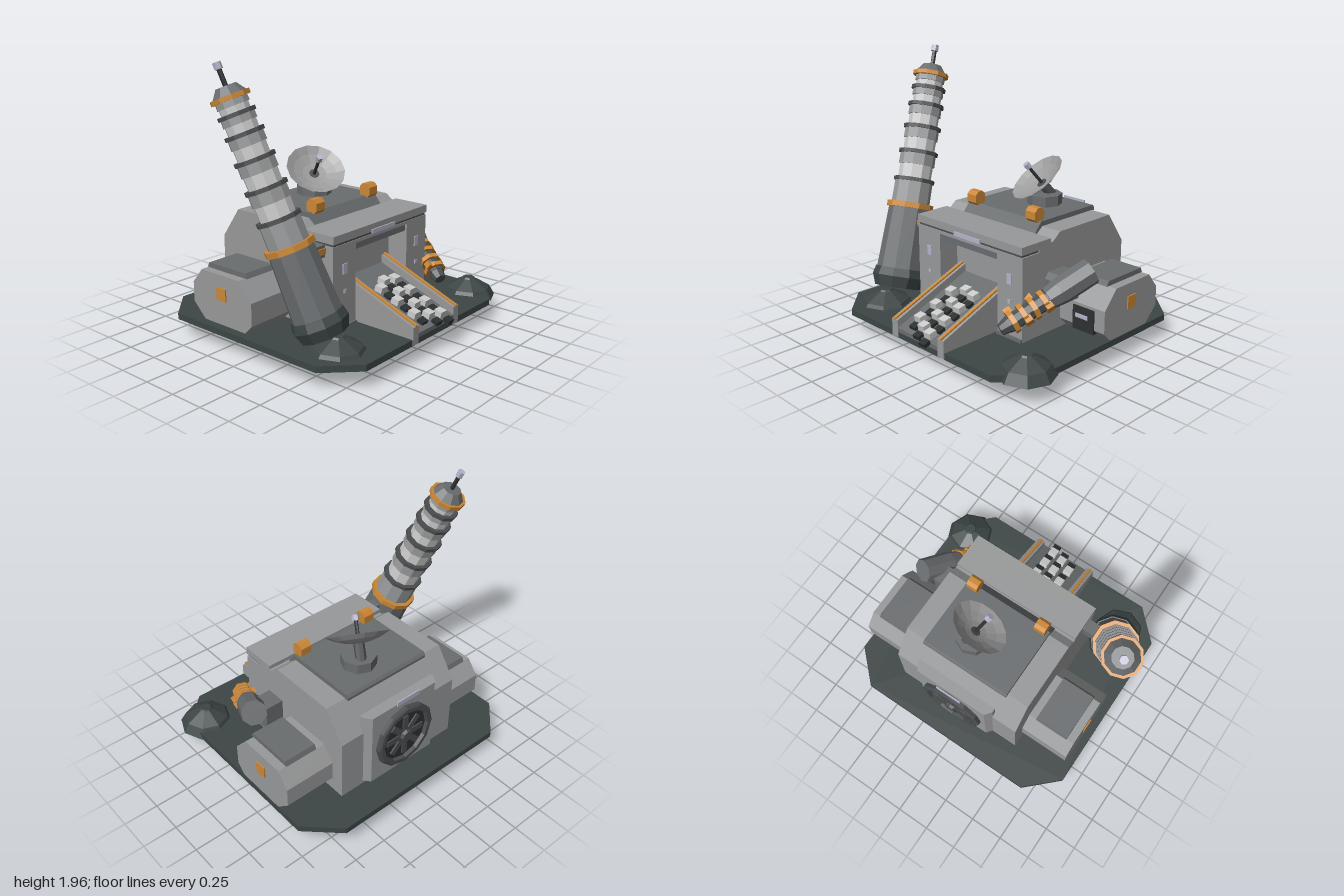
import * as THREE from 'three';

const material = (name, hex) => {
  const m = new THREE.MeshStandardMaterial({ color: hex });
  m.name = name;
  return m;
};

export function createModel() {
  const model = new THREE.Group();
  model.name = 'outpost';

  const ground = material('dark green grey', 0x3d4645);
  const wall = material('wall grey', 0x98999a);
  const mid = material('middle grey', 0x6a6d6f);
  const dark = material('dark grey', 0x4c4f51);
  const black = material('near black', 0x2d3031);
  const light = material('light grey', 0xcdcdcd);
  const orange = material('orange', 0xcc8836);
  const lavender = material('pale lavender', 0xb6b4ca);
  const dishGrey = material('dish grey', 0x9c9c9c);
  dishGrey.side = THREE.DoubleSide;

  // ---- helpers ----
  const add = (parent, name, geo, mat) => {
    const flat = geo.index ? geo.toNonIndexed() : geo;
    flat.computeVertexNormals();
    const mesh = new THREE.Mesh(flat, mat);
    mesh.name = name;
    parent.add(mesh);
    return mesh;
  };
  // box given by its limits
  const box = (name, mat, x0, x1, y0, y1, z0, z1) => {
    const m = add(model, name, new THREE.BoxGeometry(x1 - x0, y1 - y0, z1 - z0), mat);
    m.position.set((x0 + x1) / 2, (y0 + y1) / 2, (z0 + z1) / 2);
    return m;
  };
  const extrude = (pts, depth) => new THREE.ExtrudeGeometry(
    new THREE.Shape(pts.map(p => new THREE.Vector2(...p))), { depth, bevelEnabled: false });
  // side profile of [z, y] points, swept from x0 to x1
  const sideways = (name, mat, pts, x0, x1) =>
    add(model, name, extrude(pts, x1 - x0).rotateY(-Math.PI / 2).translate(x1, 0, 0), mat);
  // plan of [x, z] points, swept from y0 to y1
  const plan = (name, mat, pts, y0, y1) =>
    add(model, name, extrude(pts, y1 - y0).rotateX(Math.PI / 2).translate(0, y1, 0), mat);
  // group whose local y runs along a direction
  const axis = (name, from, dir) => {
    const g = new THREE.Group();
    g.name = name;
    g.position.set(...from);
    g.quaternion.setFromUnitVectors(new THREE.Vector3(0, 1, 0), new THREE.Vector3(...dir).normalize());
    model.add(g);
    return g;
  };
  // round section from s0 to s1 along a group's axis
  const section = (g, name, mat, s0, s1, r0, r1 = r0, sides = 10) =>
    add(g, name, new THREE.CylinderGeometry(r1, r0, s1 - s0, sides).translate(0, (s0 + s1) / 2, 0), mat);

  // ---- base plate ----
  plan('basePlate', ground, [[-0.91, -0.65], [-0.68, -0.87], [0.72, -0.87], [0.95, -0.65],
    [0.95, 0.64], [0.73, 0.86], [-0.69, 0.86], [-0.91, 0.64]], 0.12, 0.165);

  // ---- main building ----
  const L = -0.47, R = 0.56;
  sideways('mainBody', wall, [[0.24, 0.165], [0.24, 0.8], [0.11, 0.8], [0.04, 0.855],
    [-0.48, 0.855], [-0.635, 0.635], [-0.635, 0.165]], L, R);
  box('frontRoof', wall, L, R, 0.775, 0.83, 0.13, 0.405);
  box('roofShadowGap', dark, L + 0.01, R - 0.01, 0.757, 0.775, 0.24, 0.395);
  box('doorLintel', wall, -0.24, 0.33, 0.735, 0.757, 0.24, 0.4);
  box('doorHeader', mid, -0.24, 0.33, 0.685, 0.735, 0.24, 0.385);
  for (const [x0, x1] of [[L, -0.24], [0.33, R]]) {
    box('frontPillar', wall, x0, x1, 0.165, 0.757, 0.24, 0.4);
    box('pillarFoot', mid, x0, x1, 0.165, 0.19, 0.4, 0.412);
  }
  for (const side of [-1, 1]) {
    const x = 0.045 + side * 0.397;
    box('pillarWindow', lavender, x - 0.022, x + 0.022, 0.55, 0.622, 0.4, 0.406);
    box('pillarLamp', lavender, x - 0.012, x + 0.012, 0.415, 0.442, 0.4, 0.406);
  }
  box('frontSign', lavender, -0.08, 0.175, 0.762, 0.792, 0.405, 0.414);
  box('rearSign', lavender, -0.055, 0.145, 0.79, 0.825, -0.714, -0.706);

  // ---- roof plate and beacons ----
  sideways('roofPlate', mid, [[0.05, 0.89], [0.12, 0.805], [0.1, 0.8], [0.03, 0.85],
    [-0.51, 0.85], [-0.51, 0.87], [-0.495, 0.89]], -0.305, 0.4);
  for (const x of [-0.285, 0.292]) {
    sideways('roofBeacon', orange, [[0.0, 0.9], [0.02, 0.88], [0.07, 0.88], [0.09, 0.9],
      [0.09, 0.955], [0.065, 0.98], [0.025, 0.98], [0.0, 0.955]], x, x + 0.088);
  }

  // ---- dish ----
  const pedestal = axis('dishPedestal', [0.118, 0, -0.292], [0, 1, 0]);
  section(pedestal, 'pedestalDrum', mid, 0.885, 0.965, 0.127, 0.127, 8);
  const dish = axis('dish', [0.105, 1.035, -0.28], [-0.3, 0.78, 0.56]);
  section(dish, 'dishNeck', dark, -0.13, 0.01, 0.038, 0.038, 8);
  const bowl = [[0.001, 0], [0.09, 0.012], [0.16, 0.035], [0.218, 0.066]];
  add(dish, 'dishBowl', new THREE.LatheGeometry(bowl.map(p => new THREE.Vector2(...p)), 14), dishGrey);
  section(dish, 'dishFeed', black, 0.0, 0.16, 0.013, 0.013, 6);
  section(dish, 'dishFeedTip', lavender, 0.16, 0.2, 0.026, 0.026, 6);

  // ---- side modules ----
  for (const [x0, x1, outer, p0, p1] of [[-0.85, L, -0.85, -0.79, -0.53], [R, 0.945, 0.945, 0.63, 0.88]]) {
    sideways('sideModule', wall, [[0.025, 0.23], [0.025, 0.39], [-0.09, 0.52], [-0.45, 0.52],
      [-0.54, 0.41], [-0.54, 0.27], [-0.43, 0.165], [-0.04, 0.165]], x0, x1);
    sideways('modulePlate', mid, [[-0.07, 0.52], [-0.09, 0.555], [-0.44, 0.555], [-0.455, 0.52]], p0, p1);
    box('moduleHatch', orange, outer - 0.009, outer + 0.009, 0.34, 0.43, -0.3, -0.212);
  }
  box('moduleDoor', black, 0.68, 0.86, 0.2, 0.37, 0.0, 0.034);
  box('moduleDoorWindow', lavender, 0.705, 0.81, 0.29, 0.318, 0.034, 0.04);

  // ---- rear fan ----
  plan('fanHousing', wall, [[-0.275, -0.6], [-0.275, -0.63], [-0.235, -0.682],
    [0.335, -0.682], [0.375, -0.63], [0.375, -0.6]], 0.19, 0.77);
  const fan = axis('rearFan', [0.05, 0.475, -0.68], [0, 0, -1]);
  section(fan, 'fanBack', black, 0, 0.012, 0.22, 0.22, 12);
  const rim = [[0.25, 0], [0.25, 0.03], [0.235, 0.04], [0.205, 0.04], [0.2, 0.0]];
  add(fan, 'fanRim', new THREE.LatheGeometry(rim.map(p => new THREE.Vector2(...p)), 12), dark).material = dark;
  section(fan, 'fanHub', dark, 0.01, 0.05, 0.055, 0.04, 8);
  for (let i = 0; i < 8; i++) {
    const blade = add(fan, 'fanBlade', new THREE.BoxGeometry(0.13, 0.01, 0.045).translate(0.1, 0.022, 0), dark);
    blade.rotation.y = i * Math.PI / 4;
  }

  // ---- entrance ramp ----
  const slope = 0.386, tilt = Math.atan(slope);
  const rise = (z, y) => y + (0.865 - z) * slope;
  const ramp = (name, mat, y0, y1, x0, x1) => sideways(name, mat,
    [[0.865, y0], [0.865, y1], [0.23, rise(0.23, y1)], [0.23, y0]], x0, x1);
  ramp('rampFloor', mid, 0.165, 0.195, -0.155, 0.25);
  for (const x of [-0.185, 0.28]) {
    ramp('rampWall', wall, 0.125, 0.25, x - 0.03, x + 0.03);
    sideways('rampRail', orange, [[0.868, 0.25], [0.868, 0.262],
      [0.23, rise(0.23, 0.262)], [0.23, rise(0.23, 0.25)]], x - 0.01, x + 0.01);
  }
  const treads = [[-0.05, [0.47, 0.61, 0.75]], [0.045, [0.42, 0.55, 0.68, 0.8]], [0.14, [0.44, 0.57, 0.7, 0.83]]];
  for (const [x, rows] of treads) for (const z of rows) {
    const t = box('rampTread', light, x - 0.032, x + 0.032, -0.022, 0.022, -0.03, 0.03);
    t.position.set(x, rise(z, 0.225), z);
    t.rotation.x = tilt * 0.6;
    const d = box('rampTreadGap', black, x - 0.03, x + 0.03, -0.015, 0.015, -0.025, 0.025);
    d.position.set(x + 0.012, rise(z + 0.06, 0.205), z + 0.06);
    d.rotation.x = tilt;
  }

  // ---- telescoping tower ----
  box('towerBrace', mid, -0.66, L, 0.68, 0.765, 0.24, 0.33);
  box('towerBraceBand', orange, -0.66, L, 0.703, 0.745, 0.32, 0.338);
  const tower = axis('tower', [-0.605, 0, 0.57], [-0.3, 1.94, -0.74]);
  section(tower, 'groundSpike', dark, 0.0, 0.1, 0.012, 0.12, 8);
  section(tower, 'spikeCollar', dark, 0.1, 0.2, 0.12, 0.11, 8);
  section(tower, 'towerSkirt', ground, 0.26, 0.34, 0.165, 0.195);
  section(tower, 'towerSkirtTop', ground, 0.34, 0.4, 0.195, 0.18);
  section(tower, 'towerTube', mid, 0.4, 0.86, 0.172, 0.155);
  section(tower, 'towerOrangeRing', orange, 0.85, 0.89, 0.172);
  section(tower, 'towerStage', wall, 0.88, 1.06, 0.142, 0.14);
  const rings = [1.06, 1.27, 1.46, 1.63, 1.76, 1.86];
  for (let i = 0; i < 5; i++) {
    const a = rings[i], b = rings[i + 1], r = 0.152 - i * 0.006, split = a + (b - a) * 0.55;
    section(tower, 'stageRing', dark, a - 0.012, a + 0.015, r);
    section(tower, 'stageLower', light, a, split, r - 0.03, r - 0.028);
    section(tower, 'stageUpper', wall, split, b, r - 0.018, r - 0.02);
  }
  section(tower, 'topOrangeRing', orange, 1.855, 1.885, 0.133);
  section(tower, 'towerCap', mid, 1.88, 1.945, 0.118, 0.07);
  section(tower, 'towerMast', black, 1.94, 2.06, 0.017, 0.017, 6);
  section(tower, 'towerMastTip', lavender, 2.055, 2.1, 0.028, 0.028, 6);

  // ---- anchor domes ----
  for (const [x, z, r] of [[-0.64, 0.585, 0.21], [0.815, 0.625, 0.2]]) {
    const dome = axis('anchorDome', [x, 0, z], [0, 1, 0]);
    section(dome, 'domeLower', ground, 0.12, 0.19, r, r * 0.8, 8);
    section(dome, 'domeUpper', ground, 0.19, 0.25, r * 0.8, r * 0.25, 8);
    section(dome, 'domeTop', ground, 0.25, 0.262, r * 0.25, r * 0.2, 8);
  }

  // ---- side turret ----
  sideways('turretMount', mid, [[0.0, 0.41], [0.15, 0.41], [0.185, 0.45], [0.185, 0.56],
    [0.15, 0.6], [0.0, 0.6]], R, 0.7);
  const turret = axis('turret', [0.53, 0.31, 0.56], [0.27, 0.32, -0.56]);
  section(turret, 'turretTip', dark, -0.01, 0.06, 0.04, 0.058, 8);
  section(turret, 'turretCore', dark, 0.05, 0.38, 0.058, 0.062, 8);
  for (let i = 0; i < 4; i++) {
    const s = 0.07 + i * 0.08;
    section(turret, 'turretRing', orange, s, s + 0.035, 0.08, 0.08, 8);
    const lug = add(turret, 'turretLug', new THREE.BoxGeometry(0.05, 0.05, 0.04), orange);
    lug.position.set(i % 2 ? 0.07 : -0.07, s + 0.025, 0.02);
  }
  section(turret, 'turretCollar', mid, 0.36, 0.45, 0.075, 0.09, 8);
  section(turret, 'turretCanister', mid, 0.45, 0.7, 0.092, 0.092, 8);

  return model;
}
